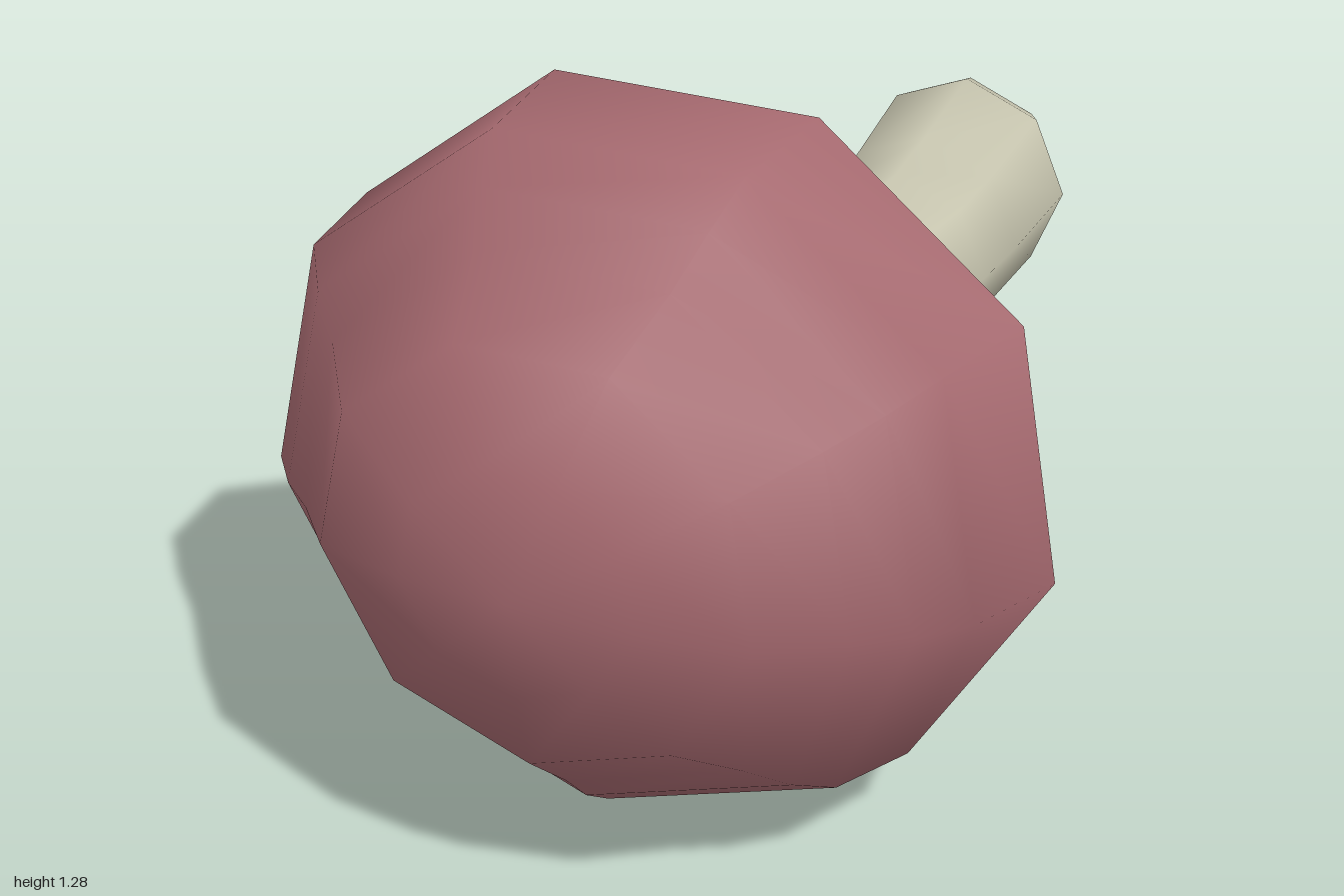
import * as THREE from 'three';
import { mergeVertices } from 'three/addons/utils/BufferGeometryUtils.js';

// Skin a list of elliptical rings [cx, cy, z, rx, ry]; tilt leans each ring along y.
function loft(rings, sides, tilt = 0) {
  const pos = [], index = [];
  for (const [cx, cy, z, rx, ry] of rings) {
    for (let j = 0; j < sides; j++) {
      const a = (j / sides) * Math.PI * 2;
      const dy = -Math.cos(a) * ry;
      pos.push(cx + Math.sin(a) * rx, cy + dy, z - tilt * dy);
    }
  }
  for (let i = 0; i < rings.length - 1; i++) {
    for (let j = 0; j < sides; j++) {
      const k = (j + 1) % sides;
      const a = i * sides + j, b = i * sides + k;
      const c = b + sides, d = a + sides;
      index.push(a, b, c, a, c, d);
    }
  }
  let geo = new THREE.BufferGeometry();
  geo.setAttribute('position', new THREE.Float32BufferAttribute(pos, 3));
  geo.setIndex(index);
  geo = mergeVertices(geo, 1e-5);
  geo.computeVertexNormals();
  return geo;
}

export function createModel() {
  const group = new THREE.Group();
  const red = new THREE.MeshStandardMaterial({ color: 0xa4686e });
  red.name = 'dusty red';
  const cream = new THREE.MeshStandardMaterial({ color: 0xc8c6b0 });
  cream.name = 'cream';

  const add = (name, geometry, material) => {
    const mesh = new THREE.Mesh(geometry, material);
    mesh.name = name;
    group.add(mesh);
  };

  // Cap rings share one nine-sided outline, scaled by s
  const capRing = (s, z, cx, cy) => [cx, cy, z, 0.72 * s, 0.66 * s];

  // Domed cap, from rim to crown
  add('cap', loft([
    capRing(1, 0.33, 0, 0.662),
    capRing(0.94, 0.53, -0.02, 0.667),
    capRing(0.84, 0.63, -0.01, 0.67),
    capRing(0.72, 0.72, 0, 0.675),
    capRing(0.56, 0.865, 0.01, 0.69),
    capRing(0.3, 0.96, 0.035, 0.7),
    capRing(0, 1, 0.04, 0.69),
  ], 9, 0.07), red);

  // Hollow underside, from the middle out to the rim
  add('capUnderside', loft([
    capRing(0, 0.56, 0.03, 0.677),
    capRing(0.26, 0.54, 0.03, 0.677),
    capRing(0.42, 0.43, 0.02, 0.672),
    capRing(0.62, 0.345, 0.01, 0.665),
    capRing(1, 0.33, 0, 0.662),
  ], 9, 0.07), cream);

  // Slightly bent stem, thicker towards its foot
  const foot = [0.01, 0.68, -1, 0.145, 0.145];
  add('stem', loft([
    foot,
    [0.012, 0.677, -0.965, 0.19, 0.188],
    [0.03, 0.677, -0.9, 0.215, 0.212],
    [0.057, 0.677, -0.62, 0.198, 0.194],
    [0.068, 0.677, -0.46, 0.185, 0.184],
    [0.06, 0.677, -0.28, 0.168, 0.173],
    [0.04, 0.678, 0, 0.163, 0.165],
    [0.03, 0.677, 0.3, 0.16, 0.162],
    [0.03, 0.677, 0.58, 0.16, 0.162],
  ], 8), cream);

  // Flat cut end of the stem
  add('stemEnd', loft([[0.01, 0.68, -1, 0, 0], foot], 8), cream);

  return group;
}
